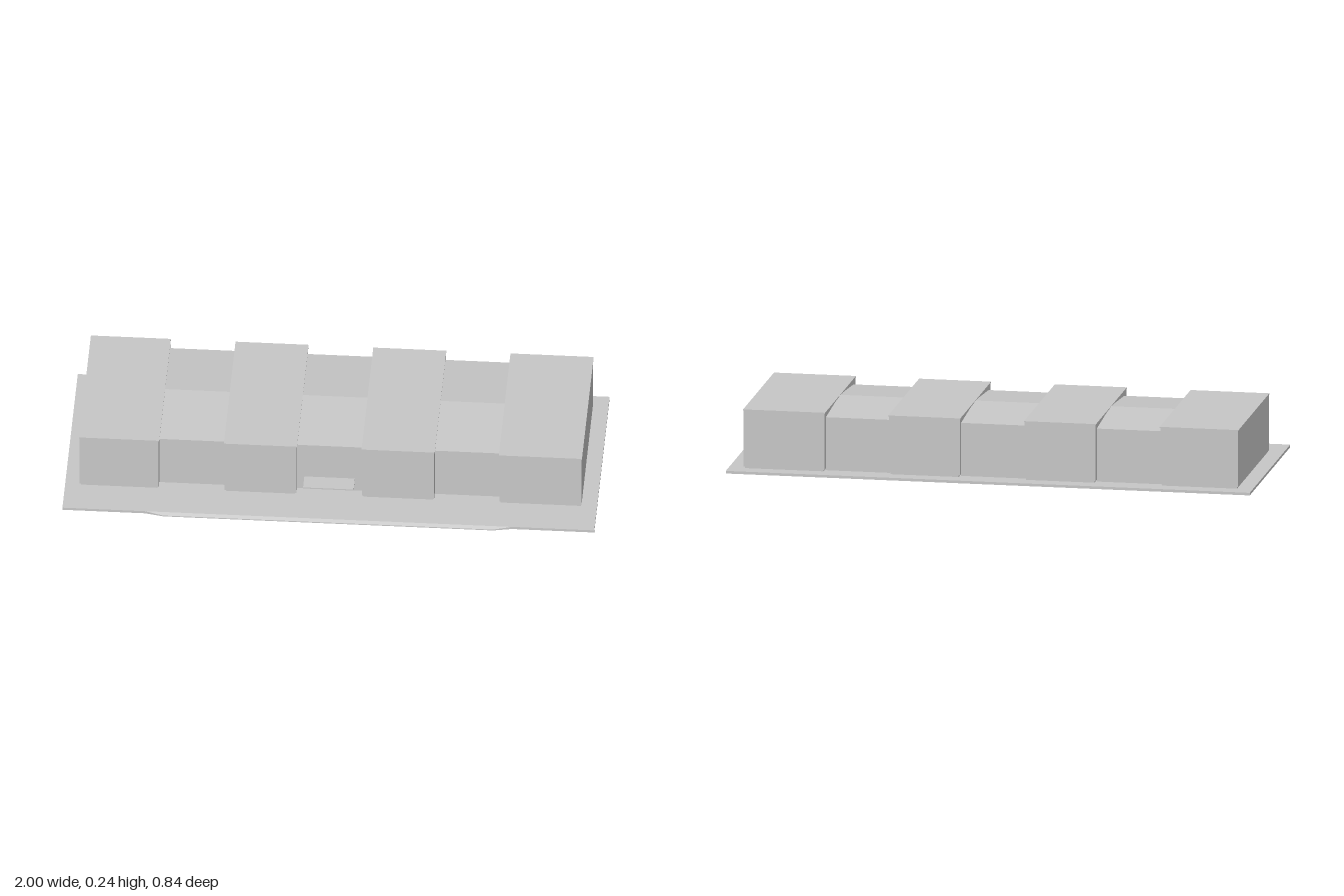
import * as THREE from 'three';

export function createModel() {
  const model = new THREE.Group();
  const grey = new THREE.MeshStandardMaterial({ color: 0xc8c8c8 });
  grey.name = 'pale grey';

  const add = (name, geometry) => {
    const mesh = new THREE.Mesh(geometry, grey);
    mesh.name = name;
    model.add(mesh);
    return mesh;
  };
  // box given by its limits on each axis
  const box = (name, x0, x1, y0, y1, z0, z1) =>
    add(name, new THREE.BoxGeometry(x1 - x0, y1 - y0, z1 - z0))
      .position.set((x0 + x1) / 2, (y0 + y1) / 2, (z0 + z1) / 2);

  // ground slab with a thin tapering ramp along the front
  box('groundSlab', -1, 1, 0, 0.01, -0.419, 0.405);
  const ramp = new THREE.BoxGeometry(1.38, 0.01, 0.014);
  const p = ramp.attributes.position;
  for (let i = 0; i < p.count; i++) {
    if (p.getZ(i) > 0) {
      p.setX(i, Math.sign(p.getX(i)) * 0.62);
      if (p.getY(i) > 0) p.setY(i, -0.001);
    }
  }
  const flatRamp = ramp.toNonIndexed();
  flatRamp.computeVertexNormals();
  add('frontRamp', flatRamp).position.set(0, 0.005, 0.412);

  // four tall blocks: recessed plinth, walls and a slim roof edge
  const blocks = [[-0.945, -0.648], [-0.401, -0.13], [0.117, 0.388], [0.633, 0.942]];
  for (const [x0, x1] of blocks) {
    box('blockPlinth', x0 + 0.005, x1 - 0.005, 0.01, 0.018, -0.359, 0.258);
    box('blockWalls', x0, x1, 0.017, 0.234, -0.363, 0.262);
    box('blockRoof', x0 - 0.002, x1 + 0.002, 0.233, 0.237, -0.365, 0.264);
  }

  // three recessed links with low gabled roofs, extruded along x
  const profile = new THREE.Shape();
  profile.moveTo(-0.222, 0.01);
  profile.lineTo(0.338, 0.01);
  profile.lineTo(0.338, 0.214);
  profile.lineTo(0.056, 0.2365);
  profile.lineTo(-0.222, 0.214);
  profile.closePath();
  for (let i = 0; i < 3; i++) {
    const x0 = blocks[i][1], x1 = blocks[i + 1][0];
    const geometry = new THREE.ExtrudeGeometry(profile, { depth: x1 - x0, bevelEnabled: false });
    geometry.rotateY(Math.PI / 2);
    add('gabledLink', geometry).position.x = x0;
  }

  // entrance canopy on the middle link
  box('entranceCanopy', -0.103, 0.087, 0.061, 0.066, 0.215, 0.29);

  return model;
}
